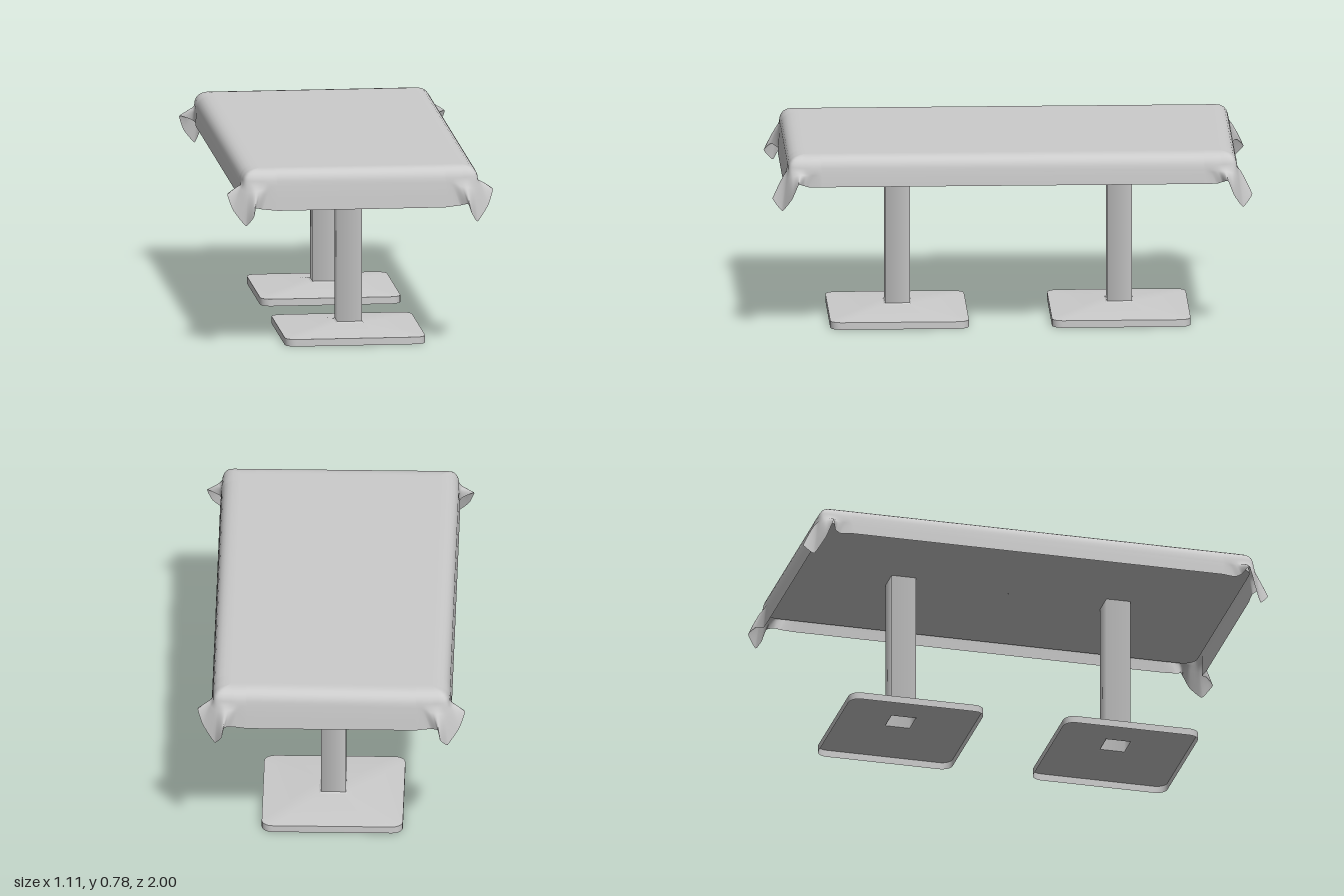
import * as THREE from 'three';
import { toCreasedNormals } from 'three/addons/utils/BufferGeometryUtils.js';

const V = (x, y, z) => new THREE.Vector3(x, y, z);
const material = new THREE.MeshStandardMaterial({ color: 0xcccccc, side: THREE.DoubleSide });

// Skin closed rings of equal length, listed from top to bottom
function loft(rings) {
  const n = rings[0].length, index = [];
  for (let i = 0; i < rings.length - 1; i++) {
    for (let j = 0; j < n; j++) {
      const a = i * n + j, b = i * n + (j + 1) % n;
      index.push(a, b, a + n, b, b + n, a + n);
    }
  }
  const geometry = new THREE.BufferGeometry().setFromPoints(rings.flat());
  geometry.setIndex(index);
  geometry.computeVertexNormals();
  return geometry;
}

// Rounded rectangle ring at height y
function roundedRing(hx, hz, r, y) {
  const points = [];
  [[1, 1], [-1, 1], [-1, -1], [1, -1]].forEach(([sx, sz], k) => {
    for (let i = 0; i <= 5; i++) {
      const a = (k + i / 5) * Math.PI / 2;
      points.push(V(sx * (hx - r) + r * Math.cos(a), y, sz * (hz - r) + r * Math.sin(a)));
    }
  });
  return points;
}

function mesh(name, geometry) {
  const m = new THREE.Mesh(geometry, material);
  m.name = name;
  return m;
}

// Square hollow post, softly shaded, on a sloped sheet foot that is open below
function createPedestal(name) {
  const pedestal = new THREE.Group();
  pedestal.name = name;
  const post = mesh('post', new THREE.CylinderGeometry(0.0735, 0.0735, 0.645, 4, 1, true).rotateY(Math.PI / 4));
  post.position.y = 0.3785;
  const foot = loft([
    roundedRing(0.052, 0.052, 0.002, 0.058),
    roundedRing(0.058, 0.058, 0.005, 0.053),
    roundedRing(0.294, 0.289, 0.045, 0.03),
    roundedRing(0.294, 0.289, 0.045, 0),
  ]);
  pedestal.add(post, mesh('foot', toCreasedNormals(foot, 0.5)));
  return pedestal;
}

// Cloth with broad rounded edges and a flared fold at each corner
function clothGeometry() {
  const HX = 0.5, HZ = 0.945, TOP = 0.782, EDGE = 0.715, INSET = 0.075, STEPS = 40;
  // Corner-local curves, from the long side round to the short end
  const curve = (points, tension) => new THREE.CatmullRomCurve3(points, false, 'catmullrom', tension);
  const edgeCurve = curve([
    V(-0.005, EDGE, -0.15), V(-0.005, EDGE, -0.085), V(-0.016, EDGE + 0.005, -0.018),
    V(-0.085, EDGE, -0.008), V(-0.15, EDGE, -0.008),
  ], 0.5);
  const hemCurve = curve([
    V(0, 0.656, -0.15), V(-0.008, 0.655, -0.095), V(0.005, 0.665, -0.07), V(0.057, 0.68, -0.05),
    V(0.035, 0.615, -0.025), V(-0.015, 0.553, 0.015), V(-0.045, 0.6, 0.055), V(-0.055, 0.63, 0.025),
    V(-0.085, 0.62, -0.002), V(-0.15, 0.613, 0),
  ], 0.2);
  const top = [], edge = [], hem = [];
  [[1, 1], [-1, 1], [-1, -1], [1, -1]].forEach(([sx, sz]) => {
    for (let i = 0; i <= STEPS; i++) {
      const u = sx * sz > 0 ? i / STEPS : 1 - i / STEPS;
      const place = (p) => V(sx * (HX + p.x), p.y, sz * (HZ + p.z));
      const e = edgeCurve.getPoint(u);
      top.push(place(V(Math.min(e.x, -INSET), TOP, Math.min(e.z, -INSET))));
      edge.push(place(e));
      hem.push(place(hemCurve.getPoint(u)));
    }
  });
  const rings = [top.map(() => V(0, TOP, 0)), top.map((p) => V(p.x * 0.98, TOP, p.z * 0.98))];
  // Rounded shoulder
  for (let i = 0; i <= 6; i++) {
    rings.push(top.map((p, j) => new THREE.QuadraticBezierCurve3(
      p, V(edge[j].x, TOP, edge[j].z), edge[j]).getPoint(i / 6)));
  }
  // Hanging skirt, flaring a little early and then falling
  for (let i = 1; i <= 6; i++) {
    const t = i / 6, flare = t ** 0.8;
    rings.push(edge.map((e, j) => V(
      THREE.MathUtils.lerp(e.x, hem[j].x, flare),
      THREE.MathUtils.lerp(e.y, hem[j].y, t),
      THREE.MathUtils.lerp(e.z, hem[j].z, flare))));
  }
  return loft(rings);
}

export function createModel() {
  const model = new THREE.Group();
  model.name = 'coveredTable';
  model.add(mesh('tablecloth', clothGeometry()));

  // Slab with eased upper edges close under the cloth
  const slab = loft([
    roundedRing(0.002, 0.002, 0.001, 0.774),
    roundedRing(0.425, 0.87, 0.03, 0.774),
    roundedRing(0.465, 0.908, 0.05, 0.756),
    roundedRing(0.482, 0.925, 0.06, 0.73),
    roundedRing(0.484, 0.927, 0.06, 0.7),
    roundedRing(0.002, 0.002, 0.001, 0.7),
  ]);
  model.add(mesh('tabletop', toCreasedNormals(slab, 0.6)));

  // Two pedestals along the length
  for (const side of [1, -1]) {
    const pedestal = createPedestal(side > 0 ? 'frontPedestal' : 'backPedestal');
    pedestal.position.z = side * 0.462;
    model.add(pedestal);
  }
  return model;
}
